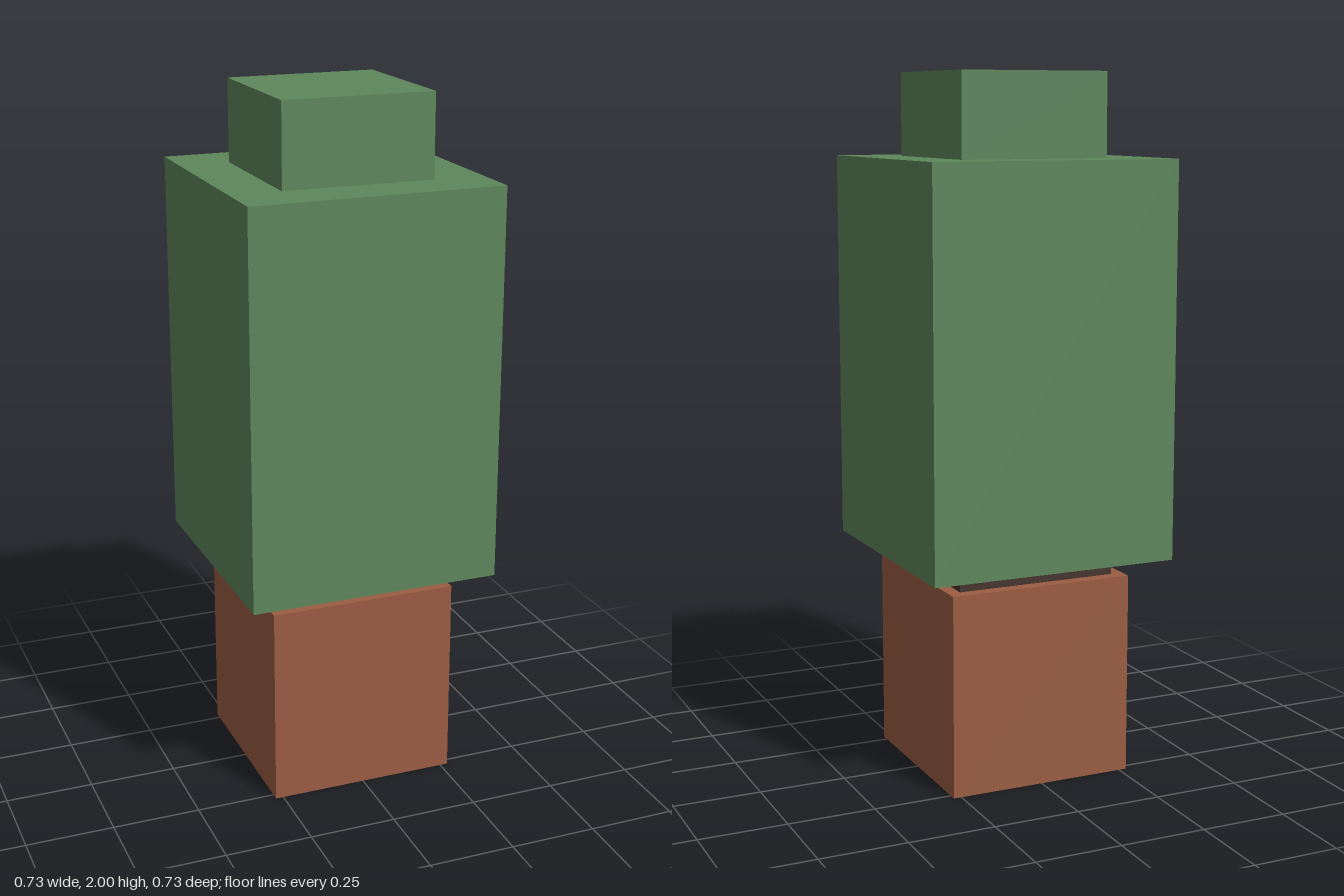
import * as THREE from 'three';

function material(name, color) {
  const m = new THREE.MeshStandardMaterial({ color });
  m.name = name;
  return m;
}

export function createModel() {
  const model = new THREE.Group();
  model.name = 'pottedShrub';

  const terracotta = material('terracotta', 0x9b5d43);
  const soil = material('soil', 0x46352f);
  const leaf = material('leafGreen', 0x5e875c);

  // Square block standing between two heights
  function block(name, width, bottom, top, mat) {
    const mesh = new THREE.Mesh(new THREE.BoxGeometry(width, top - bottom, width), mat);
    mesh.position.y = (bottom + top) / 2;
    mesh.name = name;
    model.add(mesh);
  }

  block('pot', 0.545, 0, 0.582, terracotta);
  block('soil', 0.473, 0.582, 0.622, soil);
  // Foliage floats just clear of the soil
  block('foliage', 0.727, 0.64, 1.764, leaf);
  block('foliageTop', 0.436, 1.764, 2, leaf);

  return model;
}
